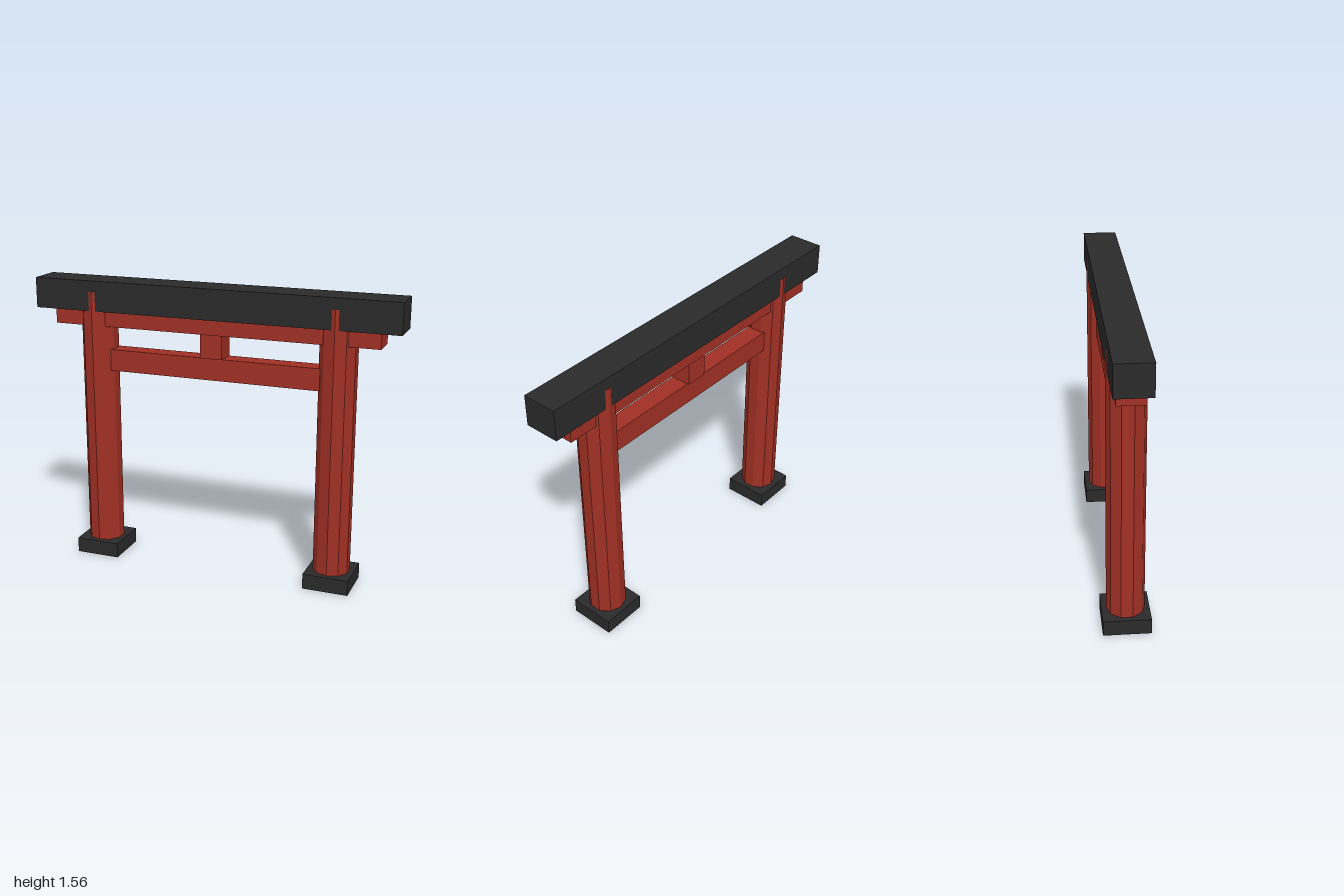
import * as THREE from 'three';

const red = new THREE.MeshStandardMaterial({ color: 0xa03024, flatShading: true });
const black = new THREE.MeshStandardMaterial({ color: 0x2a2a2a, flatShading: true });

export function createModel() {
  const gate = new THREE.Group();
  gate.name = 'gate';

  const add = (name, geometry, material, x, y) => {
    const mesh = new THREE.Mesh(geometry, material);
    mesh.name = name;
    mesh.position.set(x, y, 0);
    gate.add(mesh);
  };

  // Box spanning y0..y1, centred on x
  const block = (name, material, width, y0, y1, depth, x = 0) =>
    add(name, new THREE.BoxGeometry(width, y1 - y0, depth), material, x, (y0 + y1) / 2);

  // Ten-sided pillars on square footings; their tops poke through the lintel faces
  const pillarBottom = 0.01, pillarTop = 1.5;
  for (const [side, s] of [['left', 1], ['right', -1]]) {
    const x = 0.667 * s;
    block(side + 'Footing', black, 0.246, 0, 0.083, 0.246, x);
    add(side + 'Pillar',
      new THREE.CylinderGeometry(0.0985, 0.0985, pillarTop - pillarBottom, 10),
      red, x, (pillarBottom + pillarTop) / 2);
  }

  // Horizontal beams, top to bottom, with the short strut between the lower two
  block('topLintel', black, 2, 1.397, 1.56, 0.185);
  block('upperBeam', red, 1.79, 1.315, 1.397, 0.14);
  block('centreStrut', red, 0.12, 1.187, 1.315, 0.12);
  block('tieBeam', red, 1.17, 1.07, 1.187, 0.1);

  return gate;
}
